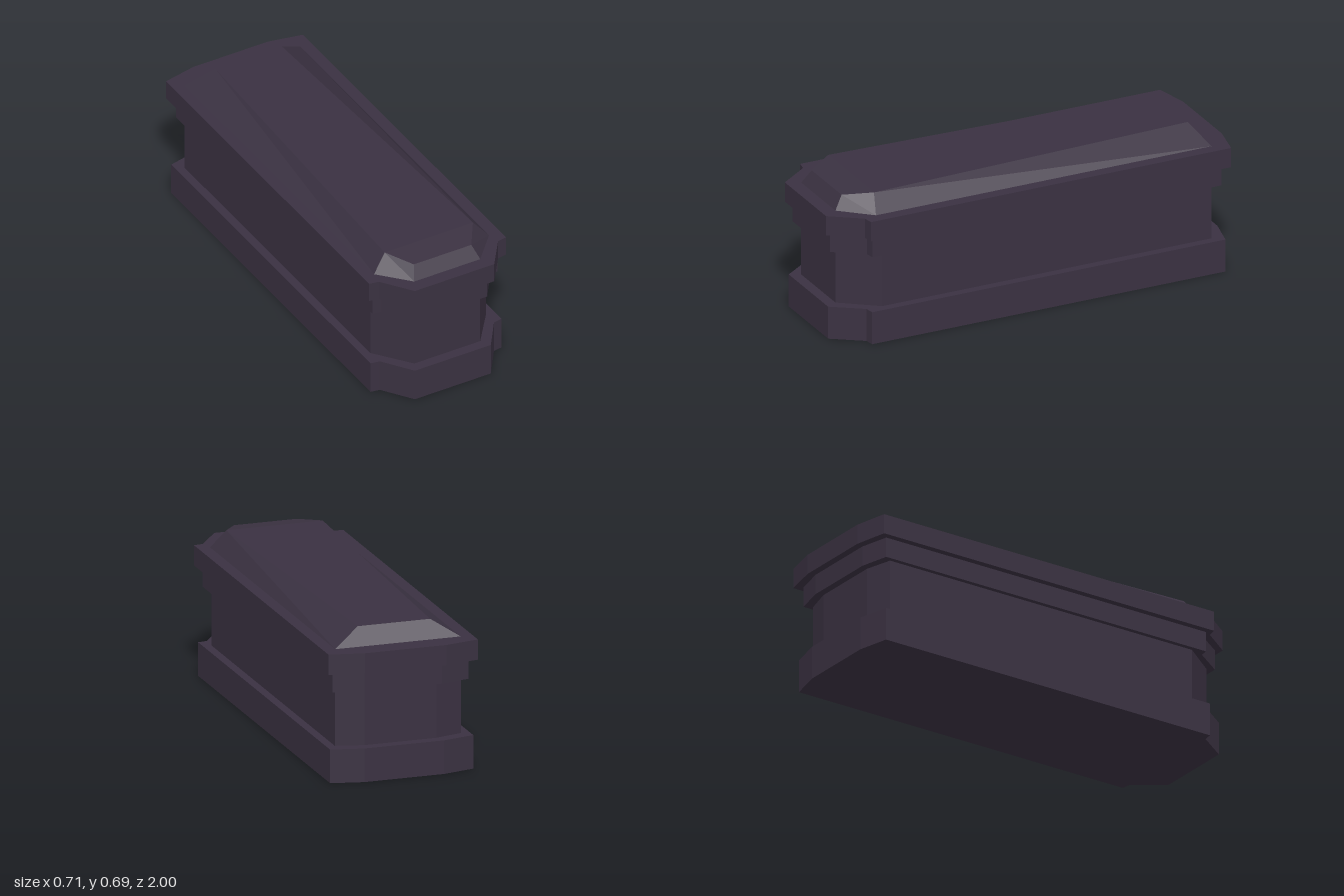
import * as THREE from 'three';

const stone = new THREE.MeshStandardMaterial({ color: 0x3a3141 });
stone.name = 'dark plum';

// Mirrors a half outline of [x, z] points (back to front) into a full loop.
const mirror = (half) => [...half, ...half.slice().reverse().map(([x, ...rest]) => [-x, ...rest])];

// Upright slab with a straight wall around the given half outline.
function slab(name, y0, y1, half) {
  const shape = new THREE.Shape(mirror(half).map(([x, z]) => new THREE.Vector2(x, -z)));
  const geometry = new THREE.ExtrudeGeometry(shape, { depth: y1 - y0, bevelEnabled: false });
  geometry.rotateX(-Math.PI / 2).translate(0, y0, 0);
  const mesh = new THREE.Mesh(geometry, stone);
  mesh.name = name;
  return mesh;
}

// Bevelled lid: sloping walls between two rings, closed by a flat top and a sloped front panel.
function lidTop() {
  const lower = mirror([[0.3, -0.895, 0.612], [0.3, 0.795, 0.612], [0.172, 0.935, 0.612]]);
  const upper = mirror([[0.173, -0.84, 0.692], [0.23, 0.77, 0.692], [0.15, 0.893, 0.673]]);
  const positions = [];
  const tri = (...corners) => corners.forEach(([x, z, y]) => positions.push(x, y, z));
  const quad = (a, b, c, d) => { tri(a, b, c); tri(a, c, d); };
  lower.forEach((p, i) => {
    const j = (i + 1) % lower.length;
    quad(p, upper[i], upper[j], lower[j]);
  });
  const [backL, sideL, frontL, frontR, sideR, backR] = upper;
  quad(backL, backR, sideR, sideL);
  quad(sideL, sideR, frontR, frontL);
  const geometry = new THREE.BufferGeometry();
  geometry.setAttribute('position', new THREE.Float32BufferAttribute(positions, 3));
  geometry.computeVertexNormals();
  const mesh = new THREE.Mesh(geometry, stone);
  mesh.name = 'lidTop';
  return mesh;
}

export function createModel() {
  const model = new THREE.Group();
  model.name = 'sarcophagus';
  model.add(
    slab('plinth', 0, 0.158, [[0.19, -0.98], [0.342, -0.945], [0.342, 0.835], [0.298, 0.842], [0.198, 0.985]]),
    slab('chest', 0.158, 0.421, [[0.172, -0.93], [0.302, -0.895], [0.302, 0.765], [0.172, 0.935]]),
    slab('lowerMoulding', 0.421, 0.517, [[0.185, -0.965], [0.325, -0.932], [0.325, 0.825], [0.284, 0.832], [0.188, 0.97]]),
    slab('lidRim', 0.517, 0.612, [[0.195, -1], [0.357, -0.966], [0.357, 0.848], [0.311, 0.856], [0.207, 1]]),
    lidTop(),
  );
  return model;
}
